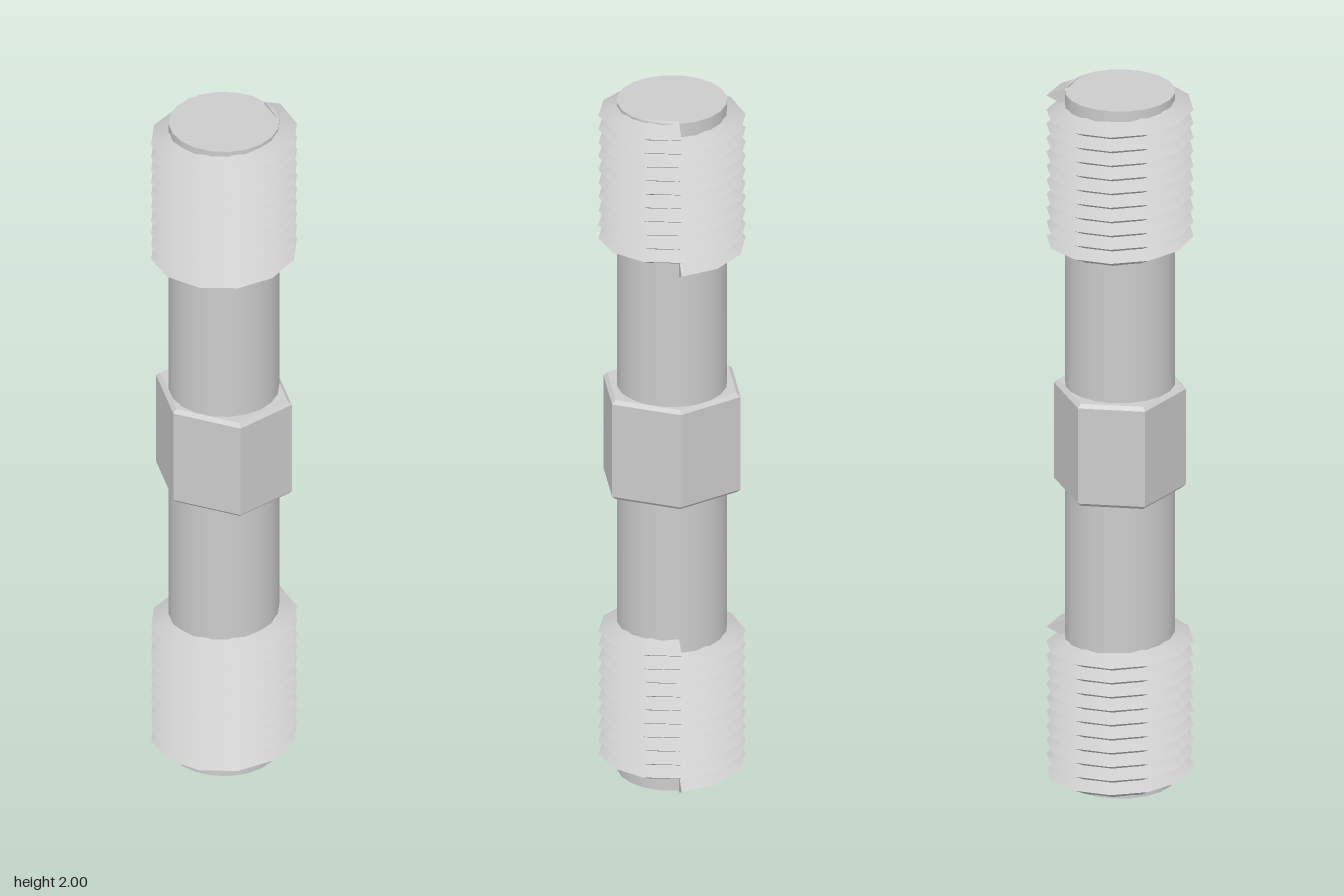
import * as THREE from 'three';

const material = new THREE.MeshStandardMaterial({ color: 0xcccccc });

function part(name, geometry, y) {
  const mesh = new THREE.Mesh(geometry, material);
  mesh.name = name;
  mesh.position.y = y;
  return mesh;
}

// Right-handed helical ridge with a triangular section, closed at both ends
function threadGeometry() {
  const turns = 10, sides = 12, pitch = 0.0405;
  const section = [[0.14, -0.03], [0.198, 0], [0.14, 0.03]];
  const count = turns * sides;
  const positions = [], index = [];
  const point = (i, k) => {
    const a = (i / sides) * Math.PI * 2;
    const [r, h] = section[k % 3];
    return [r * Math.cos(a), h + (pitch * i) / sides, -r * Math.sin(a)];
  };
  // Each flank has its own vertices, so the crest stays sharp
  for (let k = 0; k < 3; k++) {
    const base = positions.length / 3;
    for (let i = 0; i <= count; i++) {
      positions.push(...point(i, k), ...point(i, k + 1));
      if (i < count) {
        const a = base + 2 * i;
        index.push(a, a + 2, a + 1, a + 1, a + 2, a + 3);
      }
    }
  }
  // End faces
  for (const [i, order] of [[0, [0, 1, 2]], [count, [0, 2, 1]]]) {
    for (const k of order) {
      index.push(positions.length / 3);
      positions.push(...point(i, k));
    }
  }
  const geometry = new THREE.BufferGeometry();
  geometry.setAttribute('position', new THREE.Float32BufferAttribute(positions, 3));
  geometry.setIndex(index);
  geometry.computeVertexNormals();
  return geometry;
}

// Hexagonal collar with small chamfers
function collarGeometry() {
  const height = 0.295, chamfer = 0.01;
  const shape = new THREE.Shape([
    [0.178, 0], [0.09, 0.173], [-0.09, 0.173],
    [-0.178, 0], [-0.09, -0.173], [0.09, -0.173],
  ].map(([x, y]) => new THREE.Vector2(x, y)));
  const geometry = new THREE.ExtrudeGeometry(shape, {
    depth: height - 2 * chamfer,
    bevelEnabled: true,
    bevelSegments: 1,
    bevelSize: chamfer,
    bevelThickness: chamfer,
    bevelOffset: -chamfer,
  });
  geometry.translate(0, 0, chamfer - height / 2);
  return geometry.rotateX(-Math.PI / 2);
}

export function createModel() {
  const model = new THREE.Group();
  model.name = 'threadedStud';
  const thread = threadGeometry();
  model.add(
    part('shaft', new THREE.CylinderGeometry(0.148, 0.148, 1.985, 20), 1.0025),
    part('hexCollar', collarGeometry(), 1.005),
    part('lowerThread', thread, 0.03),
    part('upperThread', thread, 1.565),
  );
  return model;
}
